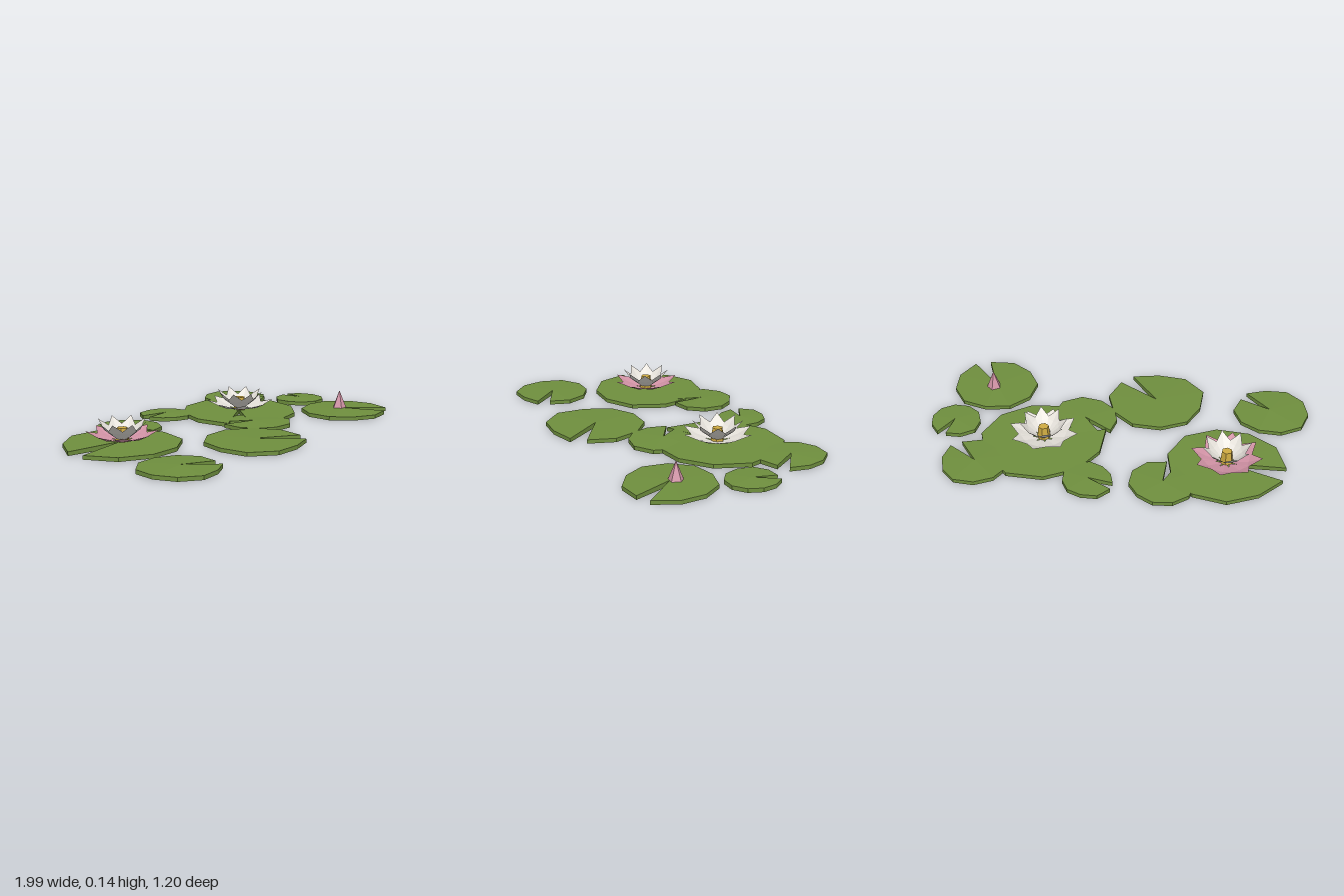
import * as THREE from 'three';

const mat = (name, color, extra = {}) => {
  const m = new THREE.MeshStandardMaterial({ color, flatShading: true, ...extra });
  m.name = name;
  return m;
};

// Flat-shaded geometry from a list of triangles, each of three [x, y, z] points
function facets(triangles) {
  const g = new THREE.BufferGeometry();
  g.setAttribute('position', new THREE.Float32BufferAttribute(triangles.flat(2), 3));
  g.computeVertexNormals();
  return g;
}

const RIM = 0.021, CROWN = 0.027, NOTCH = 20;

// Each pad: centre x, z, notch direction in degrees (from +x towards +z), rim radii in hundredths
const PADS = [
  [-0.79, 0.4, 31, [20, 19, 21, 21, 21, 22, 21, 20, 20, 20, 18.5]],
  [-0.64, -0.135, 182, [31, 29, 30.5, 31, 30.5, 31.5, 32, 30.5, 30, 31, 31]],
  [-0.35, -0.36, 95, [17, 17, 17, 17, 17, 17, 16.5, 17.5, 18, 18, 17]],
  [0.03, -0.425, 192, [14.5, 15, 13.5, 13.5, 13, 13.5, 13.5, 14, 12.5, 12.5, 13.5]],
  [0.35, -0.16, 141, [35, 32.5, 32, 32.5, 34, 32.5, 33.5, 32.5, 32, 32.5, 32.5]],
  [0.64, -0.425, 39, [18, 18, 18, 18, 18, 18, 18, 18.5, 17.5, 17.5, 19]],
  [0.865, -0.105, 283, [14, 13, 13, 13.5, 14, 14, 14, 14, 15, 14, 13]],
  [0.757, 0.275, 53, [23.5, 23.5, 22.5, 23.5, 23.5, 23.5, 22.5, 23.5, 23, 23.5, 25]],
  [0.18, 0.083, 216, [17.5, 17.5, 17.5, 17.5, 18, 20, 20, 18.5, 18, 17.5, 18]],
  [-0.158, 0.345, 38, [26.5, 24.5, 27, 28, 25.5, 26.5, 26, 26.5, 26, 26.5, 26]],
];

// Notched leaf: shallow crown on top, skirt round the rim and notch, open below
function padGeometry(notch, radii) {
  const step = (360 - NOTCH) / (radii.length - 1);
  const rim = radii.map((r, i) => {
    const a = THREE.MathUtils.degToRad(notch + NOTCH / 2 + i * step);
    return [Math.cos(a) * r / 100, RIM, Math.sin(a) * r / 100];
  });
  const centre = [0, CROWN, 0];
  const ground = ([x, , z]) => [x, 0, z];
  const tris = [];
  for (let i = 0; i < rim.length - 1; i++) tris.push([centre, rim[i + 1], rim[i]]);
  const loop = [centre, ...rim];
  loop.forEach((p, i) => {
    const q = loop[(i + 1) % loop.length];
    tris.push([p, q, ground(q)], [p, ground(q), ground(p)]);
  });
  return facets(tris);
}

// Pointed petal folded along its keel, pointing along +x
function petalGeometry(base, mid, tip, halfWidth) {
  const b = [...base, 0], m = [...mid, 0], t = [...tip, 0];
  const l = [mid[0], mid[1] + 0.008, -halfWidth], r = [mid[0], mid[1] + 0.008, halfWidth];
  return facets([[b, m, l], [m, t, l], [b, r, m], [m, r, t]]);
}

export function createModel() {
  const green = mat('leaf green', 0x6f8f3e, { side: THREE.DoubleSide });
  const white = mat('petal white', 0xe4e0d9, { side: THREE.DoubleSide });
  const pink = mat('petal pink', 0xd293a6, { side: THREE.DoubleSide });
  const gold = mat('stamen gold', 0xcfab42);

  const model = new THREE.Group();
  model.name = 'waterLilies';
  const add = (parent, name, geometry, material, x = 0, y = 0, z = 0) => {
    const mesh = new THREE.Mesh(geometry, material);
    mesh.name = name;
    mesh.position.set(x, y, z);
    parent.add(mesh);
    return mesh;
  };

  // Floating leaves
  PADS.forEach(([x, z, notch, radii]) => add(model, 'lilyPad', padGeometry(notch, radii), green, x, 0, z));

  // Open flowers: two rings of eight petals around a six-sided centre
  const outer = petalGeometry([0.02, 0.03], [0.115, 0.05], [0.187, 0.084], 0.06);
  const inner = petalGeometry([0.015, 0.032], [0.08, 0.083], [0.13, 0.138], 0.044);
  const flower = (name, x, z, outerMaterial) => {
    const g = new THREE.Group();
    g.name = name;
    g.position.set(x, 0, z);
    for (let i = 0; i < 8; i++) {
      add(g, 'outerPetal', outer, outerMaterial).rotation.y = i * Math.PI / 4;
      add(g, 'innerPetal', inner, white).rotation.y = (i + 0.5) * Math.PI / 4;
    }
    add(g, 'flowerCentre', new THREE.CylinderGeometry(0.028, 0.036, 0.07, 6), gold, 0, 0.065, 0);
    model.add(g);
  };
  flower('pinkFlower', -0.637, -0.125, pink);
  flower('whiteFlower', 0.345, -0.15, white);

  // Closed bud
  add(model, 'bud', new THREE.ConeGeometry(0.042, 0.104, 5), pink, 0.76, 0.072, 0.247).rotation.y = Math.PI;

  return model;
}
